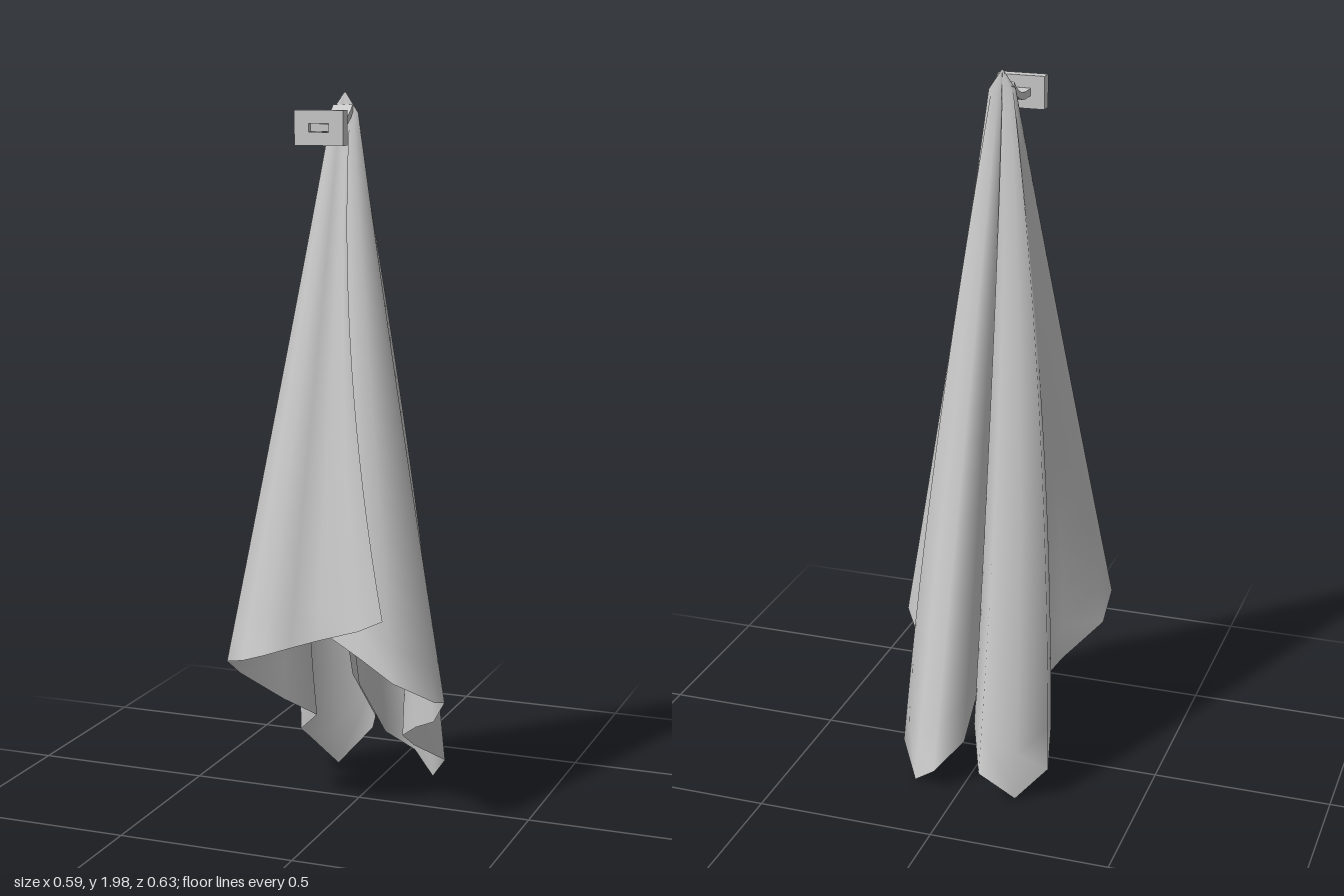
import * as THREE from 'three';

const APEX = { x: -0.015, y: 1.99, z: 0.065 };

// Hem of the cloth, from the outer front corner round the back to the tucked-in
// front corner: x, y, z and an optional sideways bulge halfway up the fold
const HEM = [
  [0.175, 0.62, 0.29, -0.04], [0.11, 0.59, 0.305, -0.025], [-0.02, 0.54, 0.26],
  [-0.09, 0.52, 0.29], [-0.155, 0.50, 0.315], [-0.23, 0.47, 0.285], [-0.295, 0.45, 0.245],
  [-0.295, 0.39, 0.155], [-0.2, 0.30, 0.07, -0.04], [-0.14, 0.23, -0.03, -0.06],
  [-0.215, 0.16, -0.09, -0.03], [-0.245, 0.10, -0.215, -0.025], [-0.16, 0.01, -0.25, -0.02],
  [-0.075, 0.11, -0.315, -0.01], [-0.02, 0.19, -0.19], [-0.035, 0.36, -0.04],
  [-0.025, 0.53, 0.045], [-0.005, 0.53, 0.045], [-0.008, 0.34, -0.02],
  [0.003, 0.14, -0.21], [0.07, 0.07, -0.28, 0.01], [0.14, 0.01, -0.24, 0.02],
  [0.2, 0.09, -0.17, 0.03], [0.14, 0.16, -0.07, 0.05], [0.13, 0.21, 0.0, 0.06],
  [0.19, 0.26, 0.06, 0.04], [0.25, 0.29, 0.085, 0.015], [0.293, 0.36, 0.12],
  [0.29, 0.38, 0.19], [0.2, 0.45, 0.28], [0.1, 0.50, 0.255], [0.0, 0.54, 0.22],
  [-0.1, 0.56, 0.19],
];

// Draped sheet: every hem point is joined to the peak by a curved fold line
function makeCloth(material) {
  const rows = 22, n = HEM.length, positions = [], index = [];
  for (let r = 0; r <= rows; r++) {
    const t = Math.max(0.002, Math.pow(r / rows, 1.4));
    // the pinched peak opens quickly, then the sides run almost straight
    const spread = 0.1 * Math.min(1, t / 0.035) * (1 - t) + Math.pow(t, 1.05);
    for (const [x, y, z, bulge = 0] of HEM) {
      const dz = z - APEX.z;
      positions.push(
        APEX.x + (x - APEX.x) * spread + bulge * 4 * t * (1 - t),
        APEX.y + (y - APEX.y) * t,
        APEX.z + dz * Math.pow(t, dz > 0 ? 0.95 : 1.28),
      );
    }
  }
  for (let r = 0; r < rows; r++) {
    for (let c = 0; c < n - 1; c++) {
      const a = r * n + c, b = a + n;
      index.push(a, a + 1, b, a + 1, b + 1, b);
    }
  }
  const geometry = new THREE.BufferGeometry();
  geometry.setAttribute('position', new THREE.Float32BufferAttribute(positions, 3));
  geometry.setIndex(index);
  geometry.computeVertexNormals();
  const cloth = new THREE.Mesh(geometry, material);
  cloth.name = 'towel';
  return cloth;
}

function rectangle(path, w, h) {
  path.moveTo(-w / 2, -h / 2);
  path.lineTo(w / 2, -h / 2);
  path.lineTo(w / 2, h / 2);
  path.lineTo(-w / 2, h / 2);
  path.closePath();
  return path;
}

export function createModel() {
  const group = new THREE.Group();
  const metal = new THREE.MeshStandardMaterial({ color: 0xcccccc });
  const fabric = new THREE.MeshStandardMaterial({ color: 0xcccccc, side: THREE.DoubleSide });

  group.add(makeCloth(fabric));

  // Mounting plate with a slot
  const plateShape = rectangle(new THREE.Shape(), 0.134, 0.09);
  plateShape.holes.push(rectangle(new THREE.Path(), 0.056, 0.022));
  const plate = new THREE.Mesh(
    new THREE.ExtrudeGeometry(plateShape, { depth: 0.034, bevelEnabled: false }), metal);
  plate.position.set(-0.017, 1.9, 0.216);
  plate.name = 'mountingPlate';
  group.add(plate);

  // Flat arm curving up at its end; profile drawn in (-z, y), extruded across x
  const profile = new THREE.Shape();
  profile.moveTo(-0.235, 1.89);
  profile.lineTo(-0.17, 1.89);
  profile.quadraticCurveTo(-0.1, 1.895, -0.066, 1.945);
  profile.lineTo(-0.075, 1.955);
  profile.quadraticCurveTo(-0.11, 1.915, -0.17, 1.91);
  profile.lineTo(-0.235, 1.91);
  profile.closePath();
  const arm = new THREE.Mesh(
    new THREE.ExtrudeGeometry(profile, { depth: 0.055, bevelEnabled: false, curveSegments: 10 }), metal);
  arm.rotation.y = Math.PI / 2;
  arm.position.x = -0.045;
  arm.name = 'hookArm';
  group.add(arm);

  return group;
}
